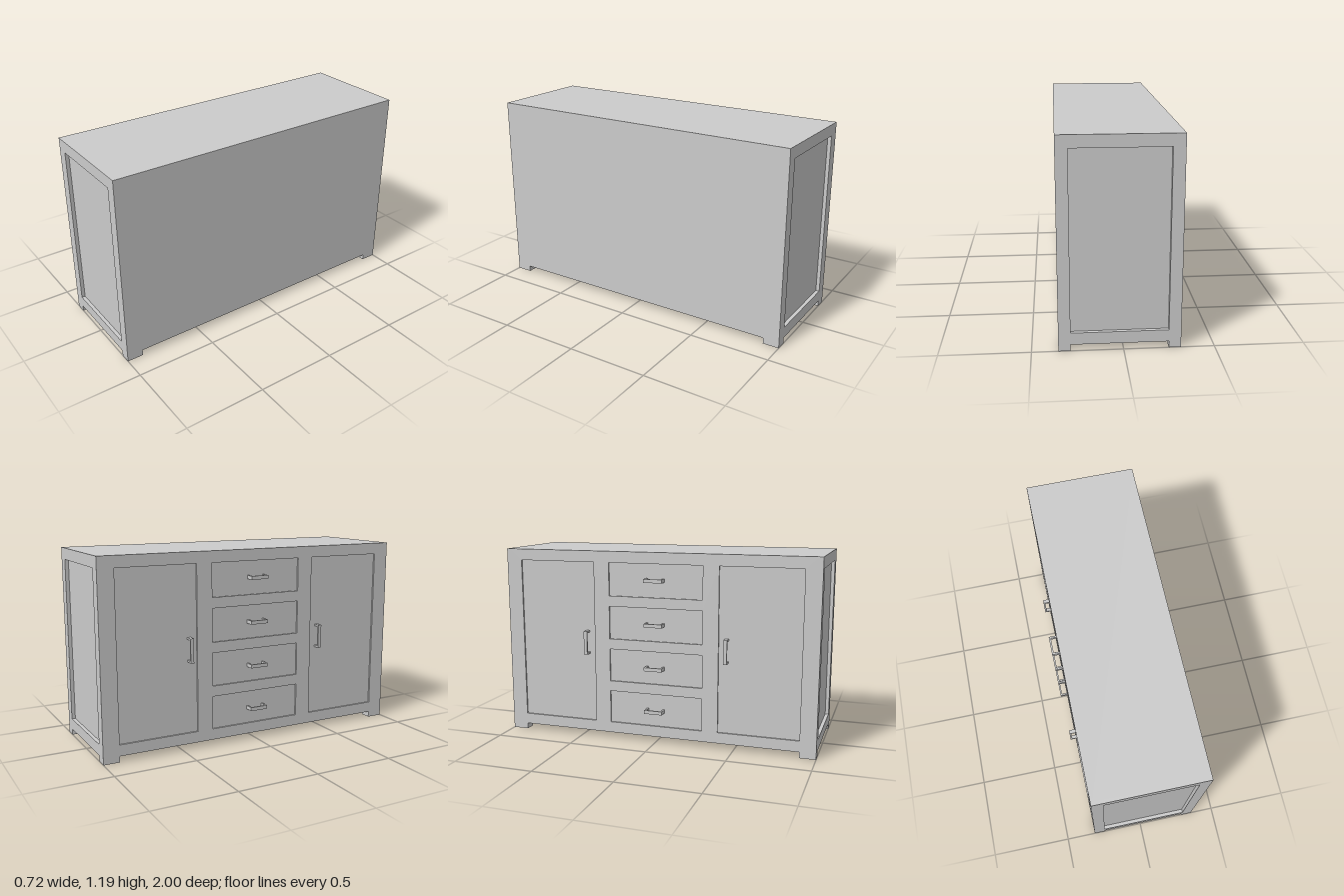
import * as THREE from 'three';

const X0 = -0.315, X1 = 0.355;   // drawer face and plain face
const Y0 = 0.037, Y1 = 1.19;     // underside and top
const FACE = 0.01, END = 0.022;  // recess depths of the drawer face and the ends
const P0 = 0.105, P1 = 1.12;     // bottom and top of every recessed panel

const material = new THREE.MeshStandardMaterial({ color: 0xcccccc, flatShading: true });

function mesh(name, geometry, parent) {
  const m = new THREE.Mesh(geometry, material);
  m.name = name;
  parent.add(m);
  return m;
}

// Box given by its lower and upper corners
function block(name, a, b, parent) {
  const m = mesh(name, new THREE.BoxGeometry(b[0] - a[0], b[1] - a[1], b[2] - a[2]), parent);
  m.position.set((a[0] + b[0]) / 2, (a[1] + b[1]) / 2, (a[2] + b[2]) / 2);
  return m;
}

function rectangle(path, [x0, y0, x1, y1]) {
  path.moveTo(x0, y0).lineTo(x1, y0).lineTo(x1, y1).lineTo(x0, y1).closePath();
  return path;
}

// Flat frame with rectangular openings
function frame(outer, holes, depth) {
  const shape = rectangle(new THREE.Shape(), outer);
  shape.holes = holes.map((h) => rectangle(new THREE.Path(), h));
  return new THREE.ExtrudeGeometry(shape, { depth, bevelEnabled: false });
}

// U-shaped bar pull, standing upright and pointing out along +z
function handle(name, length, reach, parent) {
  const g = new THREE.Group();
  g.name = name;
  const h = length / 2, t = 0.011, w = 0.011;
  block('handleBar', [-w, -h, reach - t], [w, h, reach], g);
  for (const s of [-1, 1]) {
    const m = mesh('handlePost', new THREE.BoxGeometry(2 * w, t, reach - t), g);
    m.position.set(0, s * (h - t / 2), (reach - t) / 2);
  }
  g.rotation.y = -Math.PI / 2;
  parent.add(g);
  return g;
}

export function createModel() {
  const model = new THREE.Group();
  model.name = 'sideboard';

  // Carcass; its outer faces are the recessed panels
  block('carcass', [X0 + FACE, Y0, -1 + END], [X1, Y1, 1 - END], model);

  // End frames
  for (const z of [-1, 1 - END]) {
    const g = frame([X0, Y0, X1, Y1], [[-0.247, P0, 0.288, P1]], END);
    mesh('endFrame', g, model).position.z = z;
  }

  // Openings of the drawer face: two doors and a stack of four drawers
  const openings = [[-0.9, P0, -0.4, P1], [0.4, P0, 0.9, P1]];
  const pitch = 0.27, drawerHeight = P1 - P0 - 3 * pitch;
  for (let i = 0; i < 4; i++) {
    const y = P0 + i * pitch;
    openings.push([-0.3, y, 0.3, y + drawerHeight]);
  }
  const face = mesh('drawerFaceFrame', frame([-1 + END, Y0, 1 - END, Y1], openings, FACE), model);
  face.rotation.y = -Math.PI / 2;
  face.position.x = X0 + FACE;

  // Drawer pulls lie flat, door pulls stand upright
  for (let i = 0; i < 4; i++) {
    const h = handle('drawerHandle', 0.116, 0.055, model);
    h.position.set(X0 + FACE, 0.205 + i * 0.272, 0);
    h.rotation.x = Math.PI / 2;
  }
  for (const s of [-1, 1]) {
    handle('doorHandle', 0.148, 0.046, model).position.set(X0 + FACE, 0.615, s * 0.45);
  }

  // Corner feet
  for (const [a, b] of [[X0, -0.248], [0.29, X1]]) {
    for (const [c, d] of [[-1, -0.9], [0.9, 1]]) {
      block('foot', [a, 0, c], [b, Y0, d], model);
    }
  }
  return model;
}
